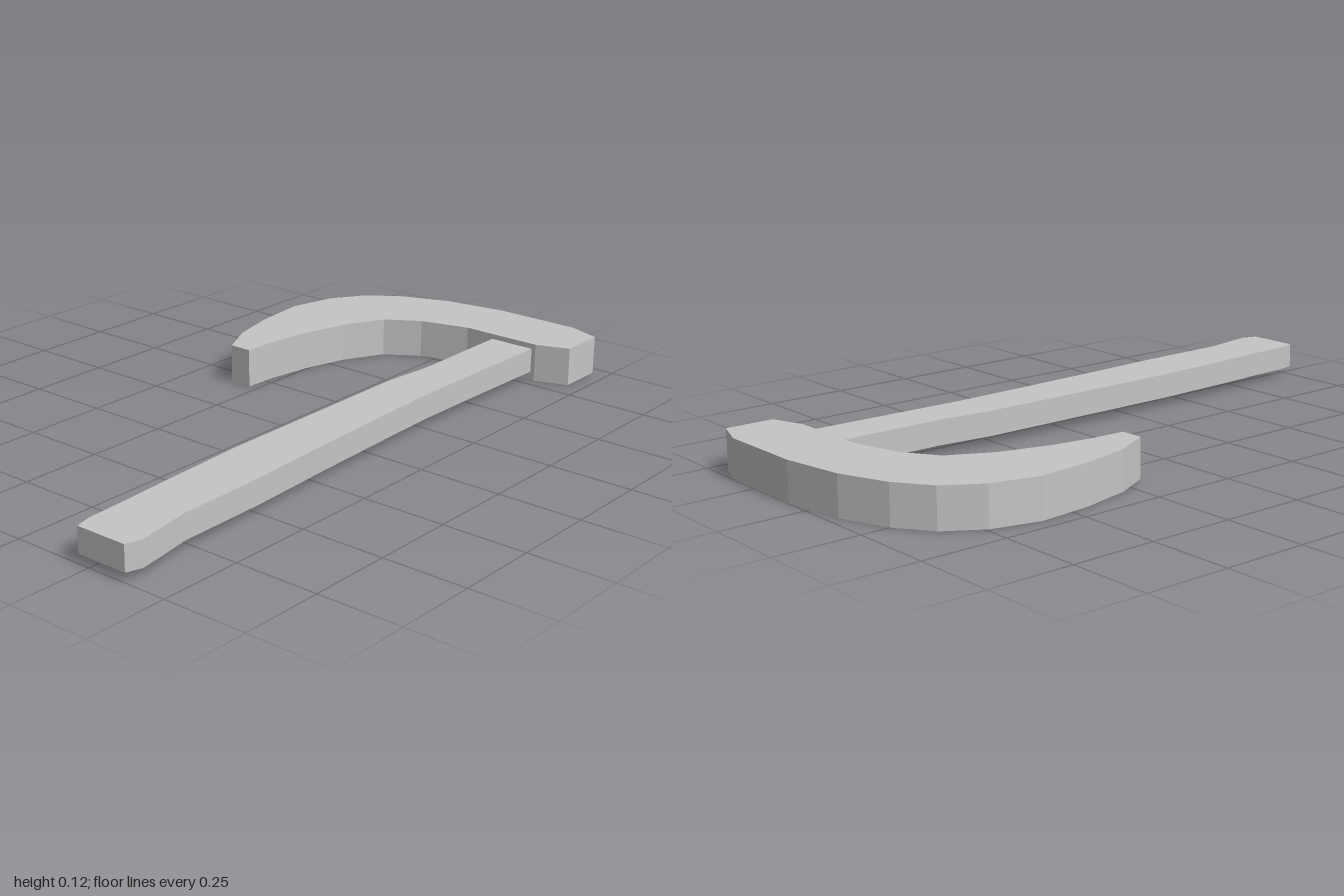
import * as THREE from 'three';

// Outlines seen from above, as [x, z] points
const HEAD = [
  [0.18, -0.35], [0.29, -0.405], [0.44, -0.44], [0.6, -0.455], [0.74, -0.42],
  [0.845, -0.35], [0.915, -0.25], [0.97, -0.105], [1, 0.08], [1, 0.35],
  [0.965, 0.45], [0.82, 0.45], [0.785, 0.35], [0.785, 0.1], [0.745, -0.05],
  [0.68, -0.15], [0.555, -0.215], [0.415, -0.255], [0.285, -0.275], [0.18, -0.28],
];
const HANDLE = [
  [-1, 0.215], [-0.95, 0.203], [-0.83, 0.198], [-0.67, 0.188], [-0.4, 0.175],
  [0.28, 0.175], [0.44, 0.192], [0.785, 0.192], [0.785, 0.337], [0.46, 0.33],
  [0.27, 0.327], [0.08, 0.332], [-0.2, 0.342], [-0.5, 0.357], [-0.78, 0.36],
  [-0.9, 0.38], [-0.955, 0.388], [-1, 0.373],
];

// Flat slab between two heights, cut from an outline
function slab(name, outline, bottom, top, material) {
  const shape = new THREE.Shape(outline.map(([x, z]) => new THREE.Vector2(x, -z)));
  const geometry = new THREE.ExtrudeGeometry(shape, { depth: top - bottom, bevelEnabled: false });
  geometry.rotateX(-Math.PI / 2).translate(0, bottom, 0);
  const mesh = new THREE.Mesh(geometry, material);
  mesh.name = name;
  return mesh;
}

export function createModel() {
  const grey = new THREE.MeshStandardMaterial({ color: 0xc4c4c4 });
  grey.name = 'plain grey';

  const group = new THREE.Group();
  group.name = 'curvedHammer';
  group.add(
    slab('curvedHead', HEAD, 0, 0.117, grey),
    slab('handle', HANDLE, 0.027, 0.101, grey),
  );
  return group;
}
